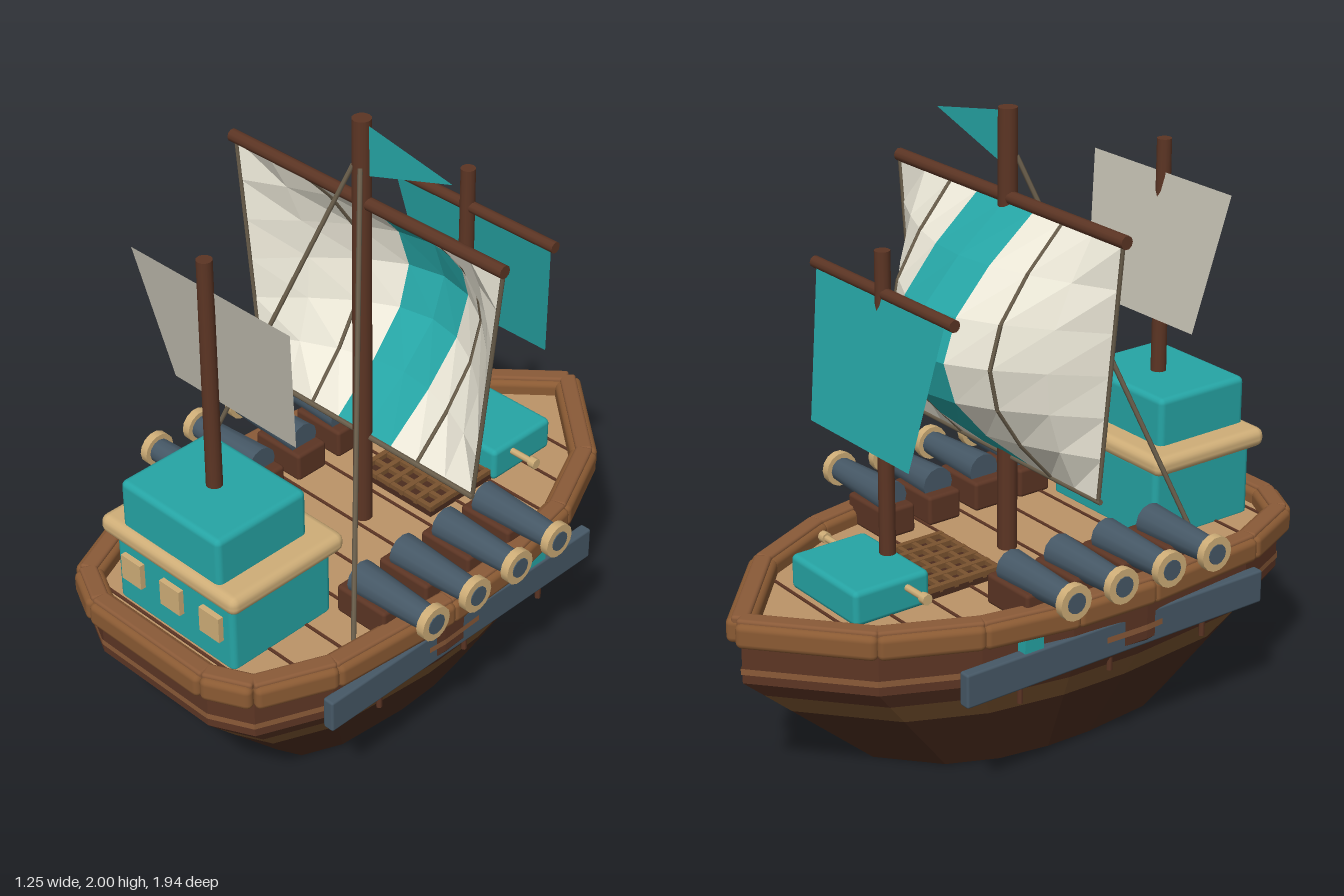
import * as THREE from 'three';
import { RoundedBoxGeometry } from 'three/addons/geometries/RoundedBoxGeometry.js';

const C = {
  dark: 0x4b2c1e, wood: 0x5c3524, light: 0x7a532f, strake: 0x8a5a38, rail: 0x8a5a33, deck: 0xbc9468,
  trim: 0xcfae78, teal: 0x26a5a5, cream: 0xece8d8, iron: 0x465866, rope: 0x6b5f4c, grey: 0xc4c0b2,
};
const mat = (color, extra = {}) => {
  const m = new THREE.MeshStandardMaterial({ color, ...extra });
  return m;
};
const V = (x, y, z) => new THREE.Vector3(x, y, z);

export function createModel() {
  const ship = new THREE.Group();
  ship.name = 'sailingShip';

  const add = (name, geo, color, pos = [0, 0, 0], extra) => {
    const m = new THREE.Mesh(geo, mat(color, extra));
    m.name = name;
    m.position.set(...pos);
    ship.add(m);
    return m;
  };
  const block = (name, w, h, d, pos, color, r = 0.015) =>
    add(name, new RoundedBoxGeometry(w, h, d, 2, r), color, pos);
  // Cylinder between two points
  const rod = (name, a, b, r0, r1, color, sides = 10) => {
    const m = add(name, new THREE.CylinderGeometry(r1, r0, a.distanceTo(b), sides), color);
    m.position.copy(a).lerp(b, 0.5);
    m.quaternion.setFromUnitVectors(V(0, 1, 0), b.clone().sub(a).normalize());
    return m;
  };
  const surface = (name, pts, color) => {
    const g = new THREE.BufferGeometry().setFromPoints(pts);
    g.computeVertexNormals();
    return add(name, g, color, [0, 0, 0], { side: THREE.DoubleSide, flatShading: true });
  };

  // Plan outline of the hull, bow at -z, closed loop
  const half = [[0, -0.935], [0.31, -0.66], [0.44, -0.38], [0.495, -0.08], [0.505, 0.2],
    [0.467, 0.64], [0.368, 0.865], [0.235, 0.93]];
  const plan = [...half, ...half.slice(1).reverse().map(([x, z]) => [-x, z])];
  const n = plan.length;
  const ring = (y, s) => plan.map(([x, z]) => V(x * s, y, z * s + 0.045 * (1 - s) / 0.44));
  const widthAt = (z) => {
    for (let i = 0; i < half.length - 1; i++) {
      const [x0, z0] = half[i], [x1, z1] = half[i + 1];
      if (z <= z1) return x0 + (x1 - x0) * (z - z0) / (z1 - z0);
    }
    return 0.2;
  };

  // Hull planking bands
  const band = (name, y0, s0, y1, s1, color) => {
    const a = ring(y0, s0), b = ring(y1, s1), pts = [];
    for (let i = 0; i < n; i++) {
      const j = (i + 1) % n;
      pts.push(a[i], b[i], b[j], a[i], b[j], a[j]);
    }
    surface(name, pts, color);
  };
  band('lowerHull', 0, 0.56, 0.26, 0.839, C.dark);
  band('hullStripe', 0.26, 0.839, 0.345, 0.93, C.light);
  band('bilgeBand', 0.345, 0.93, 0.41, 1, C.wood);
  band('upperHull', 0.41, 1, 0.57, 1, C.wood);
  band('strake', 0.44, 1.005, 0.46, 1.005, C.strake);
  const keel = ring(0, 0.56), bottom = [];
  keel.forEach((p, i) => bottom.push(V(0, 0, 0.045), p, keel[(i + 1) % n]));
  surface('hullBottom', bottom, C.dark);

  // Deck and plank seams
  const deckShape = new THREE.Shape(plan.map(([x, z]) => new THREE.Vector2(x * 0.98, -z * 0.98)));
  add('deck', new THREE.ShapeGeometry(deckShape).rotateX(-Math.PI / 2), C.deck, [0, 0.575, 0]);
  for (let z = -0.67; z < 0.88; z += 0.152)
    add('plankSeam', new THREE.BoxGeometry(2 * widthAt(z) - 0.1, 0.006, 0.009), C.wood, [0, 0.577, z]);

  // Rail: one bevelled beam with a raised cap per outline side
  for (let i = 0; i < n; i++) {
    const [x0, z0] = plan[i], [x1, z1] = plan[(i + 1) % n];
    const len = Math.hypot(x1 - x0, z1 - z0), angle = Math.atan2(x1 - x0, z1 - z0);
    const mid = [(x0 + x1) / 2, 0.582, (z0 + z1) / 2];
    block('railBeam', 0.09, 0.08, len + 0.015, mid, C.rail, 0.02).rotation.y = angle;
    mid[1] = 0.615;
    block('railCap', 0.055, 0.035, len + 0.01, mid, C.strake, 0.01).rotation.y = angle;
  }

  // Side plates, pegs and ports
  for (const s of [-1, 1]) {
    block('sidePlate', 0.04, 0.112, 1.16, [s * 0.482, 0.445, 0.1], C.iron, 0.008);
    for (const z of [0.455, 0.08, -0.265])
      rod('platePeg', V(s * 0.473, 0.33, z), V(s * 0.473, 0.42, z), 0.01, 0.01, C.wood, 6);
    add('sidePort', new THREE.BoxGeometry(0.04, 0.06, 0.07), C.teal, [s * 0.477, 0.515, -0.23]);
  }

  // Stern cabin
  block('cabinLower', 0.51, 0.26, 0.4, [0, 0.69, 0.637], C.teal, 0.02);
  block('cabinLedge', 0.59, 0.065, 0.455, [0, 0.84, 0.64], C.trim, 0.028);
  block('cabinUpper', 0.425, 0.175, 0.352, [0, 0.942, 0.667], C.teal, 0.02);
  for (const x of [-0.172, 0, 0.172])
    add('cabinWindow', new THREE.BoxGeometry(0.085, 0.088, 0.025), C.trim, [x, 0.713, 0.843]);

  // Fore hatch with crossbar, and deck grating
  block('foreHatch', 0.35, 0.115, 0.272, [0, 0.628, -0.511], C.teal, 0.018);
  rod('hatchBar', V(-0.27, 0.652, -0.46), V(0.27, 0.652, -0.46), 0.011, 0.011, C.trim, 8);
  for (const s of [-1, 1])
    rod('hatchBarEnd', V(s * 0.255, 0.652, -0.46), V(s * 0.28, 0.652, -0.46), 0.018, 0.018, C.trim, 8);
  add('gratingBase', new THREE.BoxGeometry(0.32, 0.02, 0.29), C.dark, [0, 0.585, -0.24]);
  for (let i = 0; i < 6; i++) {
    add('gratingBar', new THREE.BoxGeometry(0.018, 0.02, 0.29), C.light, [-0.15 + i * 0.06, 0.602, -0.24]);
    add('gratingBar', new THREE.BoxGeometry(0.32, 0.02, 0.016), C.light, [0, 0.6, -0.375 + i * 0.054]);
  }

  // Cannons
  for (const s of [-1, 1]) for (const z of [-0.175, 0.005, 0.19, 0.37]) {
    block('cannonCarriage', 0.2, 0.1, 0.125, [s * 0.37, 0.622, z], C.wood, 0.012);
    rod('cannonBarrel', V(s * 0.31, 0.692, z), V(s * 0.6, 0.692, z), 0.056, 0.04, C.iron, 12);
    rod('cannonMuzzle', V(s * 0.595, 0.692, z), V(s * 0.623, 0.692, z), 0.057, 0.057, C.trim, 14);
    rod('cannonBore', V(s * 0.6, 0.692, z), V(s * 0.626, 0.692, z), 0.033, 0.033, C.iron, 12);
  }

  // Masts and yards
  rod('mainMast', V(0, 0.56, 0.048), V(0, 2, 0.048), 0.032, 0.03, C.wood, 12);
  rod('sternMast', V(0, 0.9, 0.66), V(0, 1.8, 0.66), 0.026, 0.024, C.wood, 12);
  rod('foreMast', V(0, 0.57, -0.408), V(0, 1.65, -0.408), 0.026, 0.024, C.wood, 12);
  rod('mainYard', V(-0.555, 1.727, 0.045), V(0.555, 1.727, 0.045), 0.021, 0.021, C.wood);
  rod('foreYard', V(-0.355, 1.52, -0.41), V(0.355, 1.52, -0.41), 0.019, 0.019, C.wood);

  // Billowing main sail, u across (-1..1) and v down (0..1)
  const sail = (u, v) => V(u * (0.545 - 0.09 * v), 1.715 - 0.815 * v,
    0.04 - 0.35 * Math.sin(Math.PI * v) * Math.cos(u * Math.PI / 2));
  const panels = (name, cols, color) => {
    const pts = [];
    for (const c of cols) for (let r = 0; r < 6; r++) {
      const a = sail(c / 4, r / 6), b = sail((c + 1) / 4, r / 6);
      const d = sail(c / 4, (r + 1) / 6), e = sail((c + 1) / 4, (r + 1) / 6);
      pts.push(a, d, e, a, e, b);
    }
    surface(name, pts, color);
  };
  panels('mainSail', [-4, -3, -2, 1, 2, 3], C.cream);
  panels('mainSailStripe', [-1, 0], C.teal);
  for (const u of [-1, -0.5, 0.5, 1]) for (let r = 0; r < 6; r++)
    rod(Math.abs(u) === 1 ? 'sailEdgeRope' : 'sailSeam', sail(u, r / 6), sail(u, (r + 1) / 6),
      0.007, 0.007, C.rope, 5);
  rod('sailFootRope', V(-0.46, 0.893, 0.045), V(0.46, 0.893, 0.045), 0.009, 0.009, C.rope, 6);

  // Small flat sails, sloping toward the bow at the foot
  const flatSail = (name, top, foot, z, color) => {
    const a = V(-0.325, top, z), b = V(0.325, top, z);
    const c = V(-0.255, foot, z - 0.08), d = V(0.255, foot, z - 0.08);
    surface(name, [a, c, d, a, d, b], color);
  };
  flatSail('sternSail', 1.695, 1.245, 0.65, C.grey);
  flatSail('foreSail', 1.51, 1.06, -0.425, C.teal);

  // Pennant and stays
  surface('pennant', [V(0.025, 1.985, 0.048), V(0.025, 1.82, 0.048), V(0.355, 1.925, 0.048)], C.teal);
  for (const s of [-1, 1])
    rod('stay', V(s * 0.015, 1.85, 0.07), V(s * 0.41, 0.58, 0.5), 0.008, 0.008, C.rope, 6);

  return ship;
}
